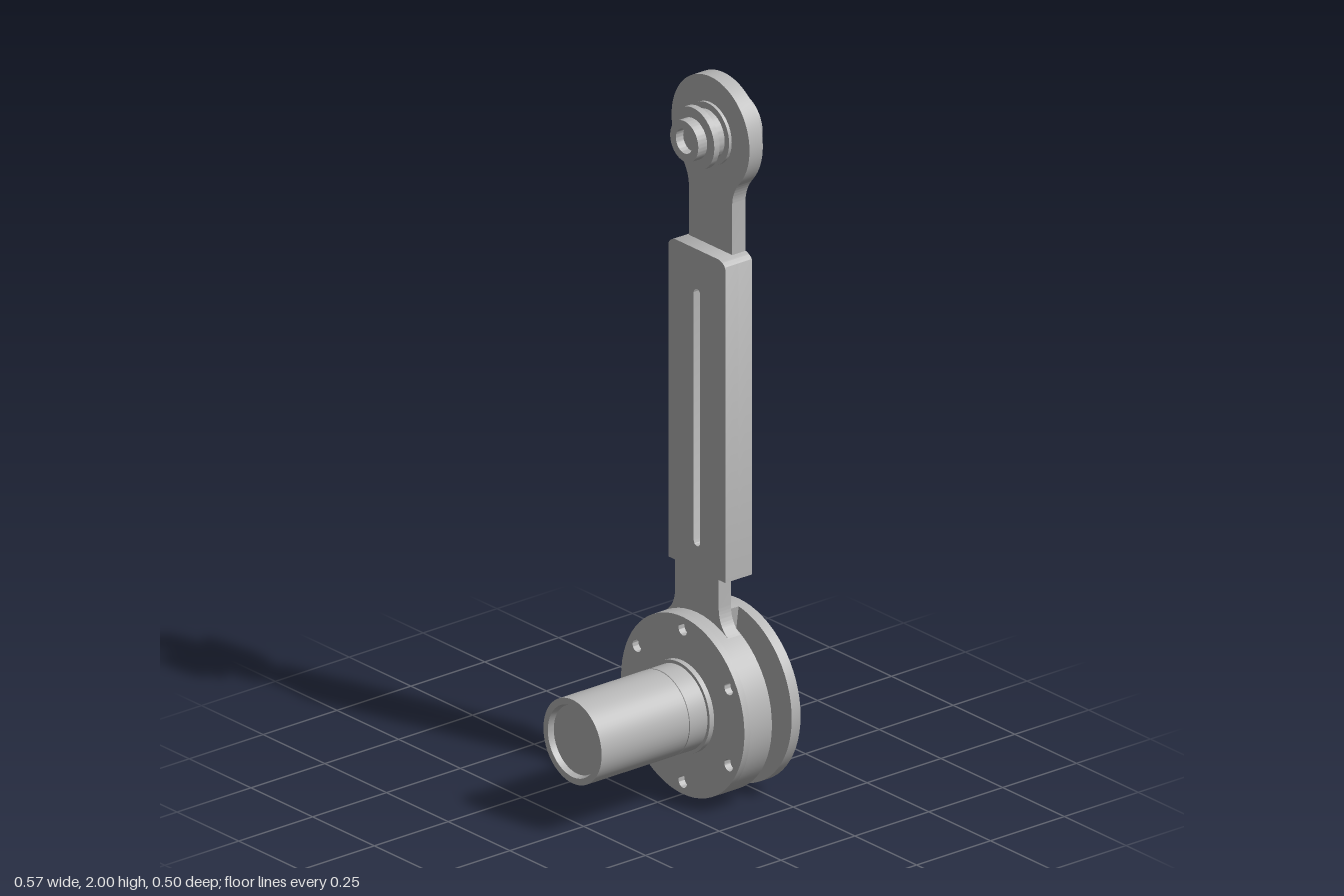
import * as THREE from 'three';
import { toCreasedNormals } from 'three/addons/utils/BufferGeometryUtils.js';

const HUB = 0.25, TIP = 1.842; // heights of the two pivots

export function createModel() {
  const root = new THREE.Group();
  const metal = new THREE.MeshStandardMaterial({ color: 0xb6b6b6 });
  metal.name = 'machined grey';

  const add = (name, geo) => {
    const mesh = new THREE.Mesh(toCreasedNormals(geo, 0.6), metal);
    mesh.name = name;
    root.add(mesh);
    return mesh;
  };
  // Outline drawn in (-z, y), extruded along x
  const plate = (name, shape, x0, x1) => {
    const geo = new THREE.ExtrudeGeometry(shape, { depth: x1 - x0, bevelEnabled: false, curveSegments: 32 });
    return add(name, geo.rotateY(Math.PI / 2).translate(x0, 0, 0));
  };
  // Profile of [x, radius] pairs turned about a horizontal axis
  const turned = (name, y, profile, z = 0, seg = 64) => {
    const pts = profile.map(([x, r]) => new THREE.Vector2(r, x));
    return add(name, new THREE.LatheGeometry(pts, seg).rotateZ(-Math.PI / 2).translate(0, y, z));
  };
  const circle = (u, y, r) => new THREE.Path().absarc(u, y, r, 0, Math.PI * 2, true);
  const disc = (y, r) => new THREE.Shape().absarc(0, y, r, 0, Math.PI * 2, false);
  const polar = (r, deg) => {
    const a = THREE.MathUtils.degToRad(deg);
    return [r * Math.cos(a), HUB + r * Math.sin(a)];
  };

  // Motor barrel with recessed end, seam groove and mounting flange
  turned('motorBarrel', HUB, [
    [-0.272, 0], [-0.272, 0.095], [-0.288, 0.1], [-0.288, 0.118], [0.007, 0.118], [0.008, 0.116],
    [0.01, 0.116], [0.011, 0.118], [0.07, 0.118], [0.07, 0.127], [0.09, 0.127]]);

  // Rear drum with bolt holes in its back face
  const backFace = disc(HUB, 0.25);
  for (let i = 0; i < 6; i++) backFace.holes.push(circle(...polar(0.215, 30 + i * 60), 0.017));
  plate('drumBack', backFace, 0.085, 0.105);
  plate('drum', disc(HUB, 0.25), 0.105, 0.178);

  // Partial wall joining the drum to the outer disc; open at the front
  const a0 = THREE.MathUtils.degToRad(-67), a1 = THREE.MathUtils.degToRad(98);
  const wall = new THREE.Shape();
  wall.absarc(0, HUB, 0.25, a0, a1, false);
  wall.absarc(0, HUB, 0.17, a1, a0, true);
  wall.closePath();
  plate('housingWall', wall, 0.178, 0.245);

  // Outer disc, its row of screw holes and raised bearing ring
  const outer = disc(HUB, 0.25);
  outer.holes.push(circle(0, HUB, 0.09));
  [81, 54, 29, 3, -23, -49].forEach((deg, i) => {
    const [u, y] = polar(0.2, deg);
    outer.holes.push(circle(u, y, 0.023));
    if (i % 2 === 0 && i < 3) {
      const head = new THREE.Shape().absarc(u, y, 0.018, 0, Math.PI * 2, false);
      head.holes.push(circle(u, y, 0.009));
      plate('wallScrew', head, 0.24, 0.262);
    }
  });
  plate('outerDisc', outer, 0.245, 0.275);
  const ring = disc(HUB, 0.137);
  ring.holes.push(circle(0, HUB, 0.085));
  plate('bearingRing', ring, 0.27, 0.287);

  // Output shaft and screws inside the housing
  turned('outputShaft', HUB, [[0.17, 0.088], [0.182, 0.088], [0.182, 0.06], [0.186, 0.058],
    [0.186, 0.028], [0.205, 0.028], [0.205, 0.012], [0.19, 0.012], [0.19, 0]]);
  for (let i = 0; i < 8; i++) {
    const [u, y] = polar(0.07, i * 45);
    turned('outputScrew', y, [[0.18, 0.015], [0.19, 0.015], [0.19, 0.008], [0.184, 0.008], [0.184, 0]], -u, 20);
  }

  // Lower neck, flared into the drum
  const neck = new THREE.Shape();
  neck.moveTo(-0.14, 0.44);
  neck.lineTo(-0.125, 0.467);
  neck.quadraticCurveTo(-0.09, 0.49, -0.088, 0.54);
  neck.lineTo(-0.088, 0.64);
  neck.lineTo(0.088, 0.64);
  neck.lineTo(0.088, 0.54);
  neck.quadraticCurveTo(0.09, 0.49, 0.125, 0.467);
  neck.lineTo(0.14, 0.44);
  plate('lowerNeck', neck, 0.133, 0.174);

  // Beam: drilled front half and slotted back half
  const beamShape = () => {
    const s = new THREE.Shape();
    s.moveTo(-0.115, 0.62);
    s.lineTo(0.115, 0.62);
    s.lineTo(0.115, 1.505);
    s.quadraticCurveTo(0.113, 1.518, 0.09, 1.525);
    s.lineTo(-0.09, 1.525);
    s.quadraticCurveTo(-0.113, 1.518, -0.115, 1.505);
    s.closePath();
    return s;
  };
  const front = beamShape();
  for (let i = 0; i < 7; i++) front.holes.push(circle(0, 0.708 + i * 0.1137, 0.012));
  for (const y of [0.73, 0.915, 1.3, 1.48])
    for (const u of [-0.064, 0.064]) front.holes.push(circle(u, y, 0.008));
  plate('beamFront', front, 0.178, 0.224);
  const back = beamShape();
  const slot = new THREE.Path();
  slot.absarc(0, 1.4, 0.013, 0, Math.PI, false);
  slot.absarc(0, 0.7, 0.013, Math.PI, Math.PI * 2, false);
  slot.closePath();
  back.holes.push(slot);
  plate('beamBack', back, 0.133, 0.178);

  // Upper neck and rounded eye
  const eye = new THREE.Shape();
  const e = THREE.MathUtils.degToRad(-42), R = 0.158;
  eye.moveTo(-0.088, 1.5);
  eye.lineTo(0.088, 1.5);
  eye.lineTo(0.088, 1.67);
  eye.quadraticCurveTo(0.09, 1.705, R * Math.cos(e), TIP + R * Math.sin(e));
  eye.absarc(0, TIP, R, e, Math.PI - e, false);
  eye.quadraticCurveTo(-0.09, 1.705, -0.088, 1.67);
  eye.closePath();
  plate('upperEye', eye, 0.179, 0.224);

  // Grooved pulleys on both sides of the eye
  turned('innerPulley', TIP, [
    [0.115, 0], [0.115, 0.034], [0.09, 0.034], [0.09, 0.057], [0.12, 0.057], [0.12, 0.086],
    [0.138, 0.086], [0.138, 0.068], [0.17, 0.068], [0.17, 0.086], [0.182, 0.086]]);
  turned('outerPulley', TIP, [[0.22, 0.086], [0.233, 0.086], [0.233, 0.068], [0.262, 0.068], [0.262, 0]]);
  const cap = disc(TIP, 0.087);
  for (const u of [-0.033, 0.033]) for (const v of [-0.033, 0.033]) {
    cap.holes.push(circle(u, TIP + v, 0.022));
    turned('pulleyScrew', TIP + v, [[0.26, 0.016], [0.274, 0.016], [0.274, 0.008], [0.266, 0.008], [0.266, 0]], -u, 20);
  }
  plate('pulleyCap', cap, 0.262, 0.283);

  return root;
}
